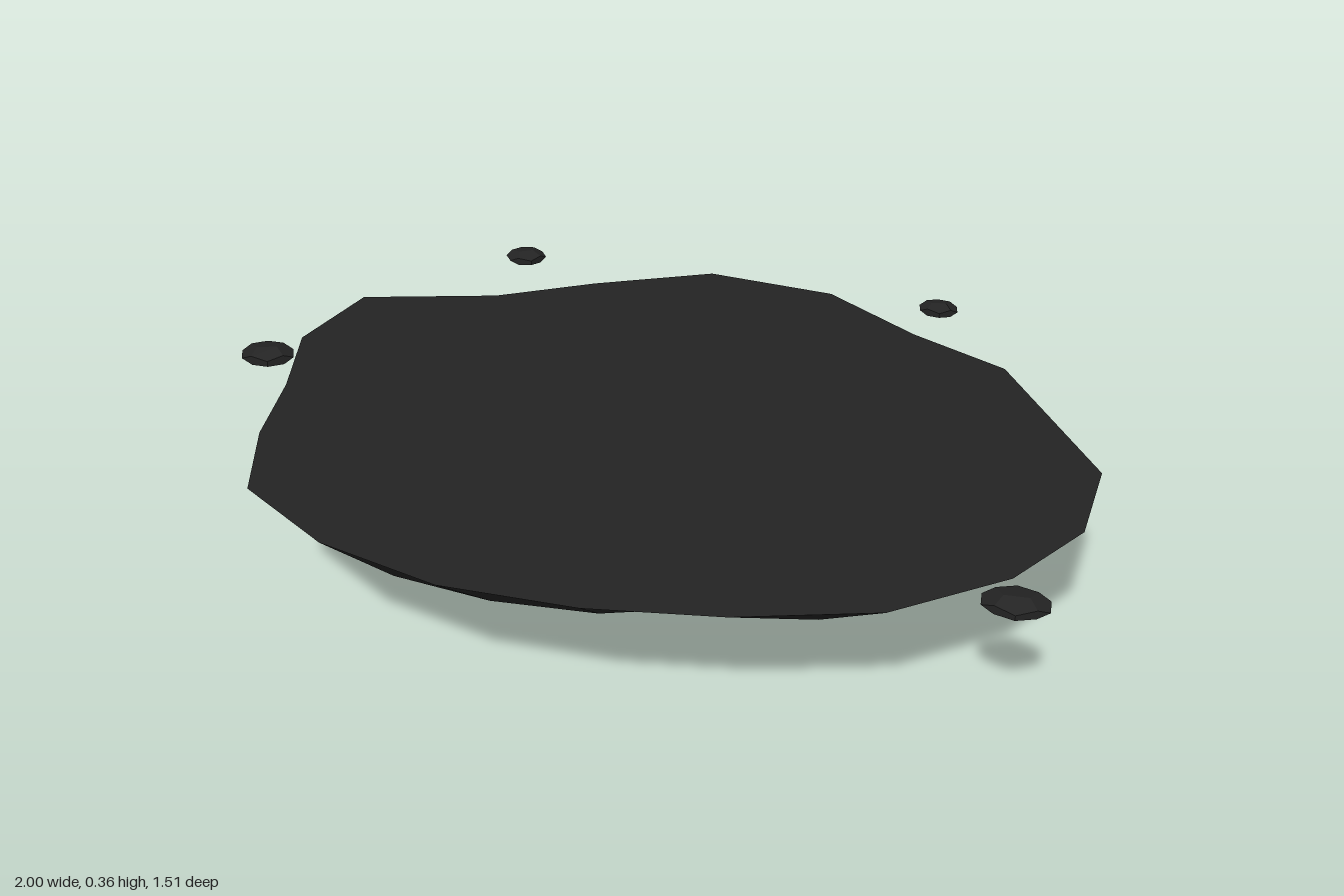
import * as THREE from 'three';

// Rim of the flat top (x, z), clockwise seen from above
const RIM = [
  [0.03, -0.685], [0.34, -0.635], [0.56, -0.465], [0.78, -0.34], [0.89, -0.135],
  [1.0, 0.07], [0.965, 0.3], [0.83, 0.49], [0.6, 0.65], [0.31, 0.725],
  [0.03, 0.755], [-0.26, 0.74], [-0.53, 0.65], [-0.745, 0.495], [-0.805, 0.28],
  [-0.825, 0.07], [-0.87, -0.15], [-0.795, -0.38], [-0.475, -0.455], [-0.25, -0.57],
];
const CX = 0.03, CZ = 0.07, TOP = 0.36;

// Rings below the rim: scale, height, scale jitter, height jitter
const RINGS = [
  [1, TOP, 0, 0],
  [0.76, 0.225, 0.05, 0.012],
  [0.34, 0.058, 0.03, 0.01],
  [0.2, 0.042, 0.02, 0.008],
  [0.08, 0.022, 0.02, 0.018],
];

function seeded(seed) {
  return () => {
    seed = (seed * 16807) % 2147483647;
    return (seed / 2147483647) * 2 - 1;
  };
}

function facetedGeometry(triangles) {
  const geometry = new THREE.BufferGeometry().setFromPoints(triangles);
  geometry.computeVertexNormals();
  return geometry;
}

export function createModel() {
  const group = new THREE.Group();
  const rock = new THREE.MeshStandardMaterial({ color: 0x232323, flatShading: true });
  rock.name = 'charcoal rock';

  const add = (name, geometry) => {
    const mesh = new THREE.Mesh(geometry, rock);
    mesh.name = name;
    group.add(mesh);
    return mesh;
  };

  // Cross-sections shrinking toward the bottom point
  const rand = seeded(77);
  const n = RIM.length;
  const rings = RINGS.map(([scale, y, js, jy]) => RIM.map(([x, z]) => {
    const s = scale + js * rand();
    return new THREE.Vector3(CX + (x - CX) * s, y + jy * rand(), CZ + (z - CZ) * s);
  }));

  // Flat top and ragged underside
  const top = [], under = [];
  const centre = new THREE.Vector3(CX, TOP, CZ);
  const tip = new THREE.Vector3(CX - 0.01, 0, CZ);
  for (let i = 0; i < n; i++) {
    const j = (i + 1) % n;
    top.push(centre, rings[0][j], rings[0][i]);
    for (let k = 0; k < rings.length - 1; k++) {
      const a = rings[k], b = rings[k + 1];
      under.push(a[i], a[j], b[i], a[j], b[j], b[i]);
    }
    const last = rings[rings.length - 1];
    under.push(last[i], last[j], tip);
  }
  add('islandTop', facetedGeometry(top));
  add('islandUnderside', facetedGeometry(under));

  // Loose flat pebbles around the rim: x, y, z, half sizes, turn
  const pebbles = [
    [-0.935, 0.341, -0.09, 0.066, 0.02, 0.054, 0.3],
    [0.84, 0.343, 0.545, 0.071, 0.017, 0.053, 0],
    [-0.468, 0.345, -0.716, 0.052, 0.016, 0.046, 0.5],
    [0.607, 0.345, -0.64, 0.049, 0.016, 0.041, 0.1],
  ];
  for (const [x, y, z, sx, sy, sz, turn] of pebbles) {
    const pebble = add('pebble', new THREE.DodecahedronGeometry(1).rotateY(turn).scale(sx, sy, sz));
    pebble.position.set(x, y, z);
  }
  return group;
}
